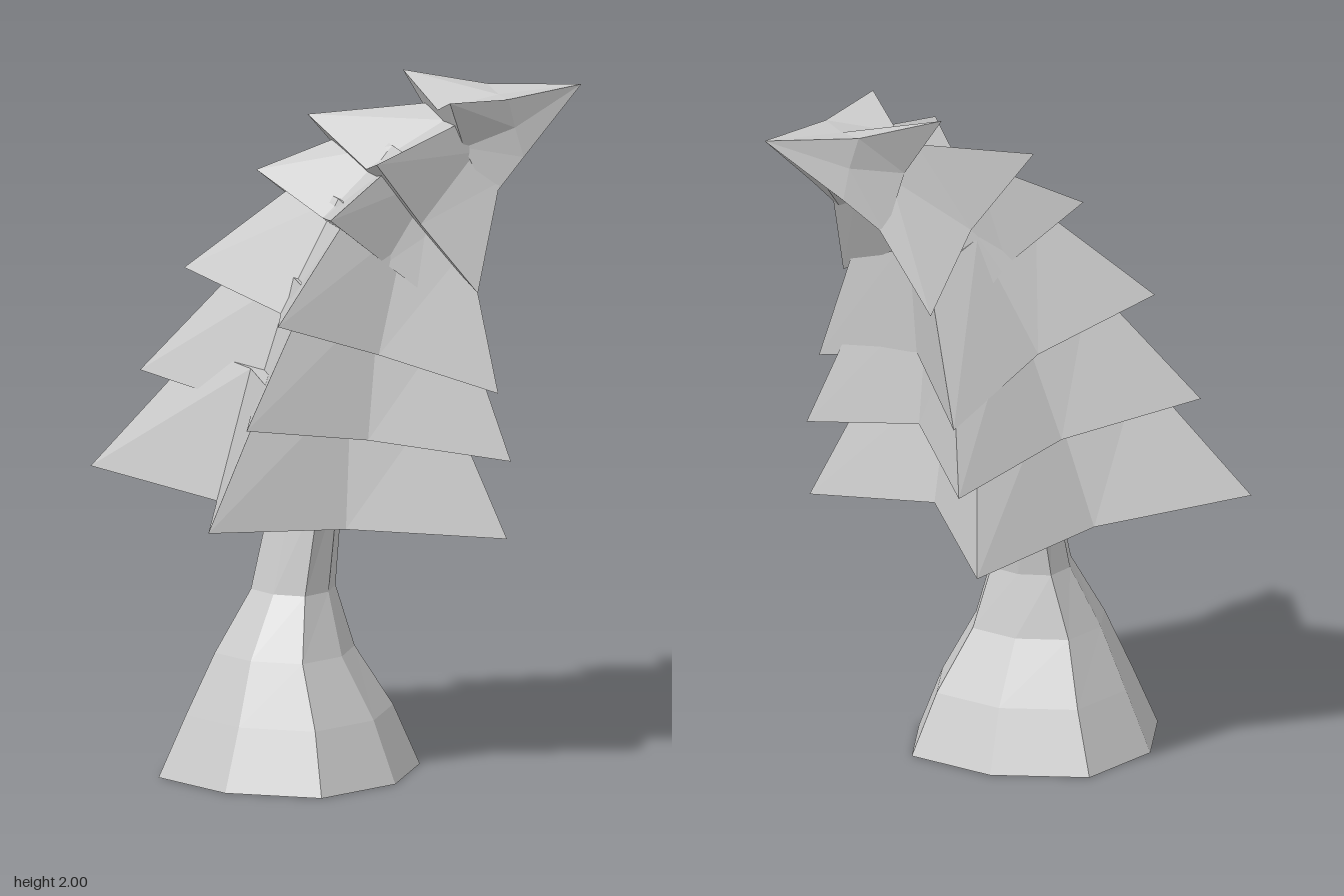
import * as THREE from 'three';

const V = (p) => new THREE.Vector3(...p);

// Skin a stack of closed rings (counterclockwise from above), capped at both ends
function loft(rings) {
  const pos = [];
  const tri = (...pts) => pts.forEach((p) => pos.push(p.x, p.y, p.z));
  const n = rings[0].length;
  const mean = (r) => r.reduce((s, p) => s.add(p), new THREE.Vector3()).divideScalar(n);
  const first = rings[0], last = rings[rings.length - 1];
  const low = mean(first), high = mean(last);
  for (let i = 0; i < n; i++) {
    const j = (i + 1) % n;
    for (let k = 0; k < rings.length - 1; k++) {
      const a = rings[k], b = rings[k + 1];
      tri(a[i], a[j], b[j]);
      tri(a[i], b[j], b[i]);
    }
    tri(first[j], first[i], low);
    tri(last[i], last[j], high);
  }
  const geo = new THREE.BufferGeometry();
  geo.setAttribute('position', new THREE.Float32BufferAttribute(pos, 3));
  geo.computeVertexNormals();
  return geo;
}

// Four-pointed star: each notch is the middle of two tips pulled towards the centre
function star(t, pull, lift = 0) {
  const centre = t.reduce((s, p) => s.add(p), new THREE.Vector3()).divideScalar(4);
  return t.flatMap((p, i) => {
    const notch = p.clone().lerp(t[(i + 1) % 4], 0.5).lerp(centre, 1 - pull[i]);
    if (i === 2) notch.y += lift; // arched notch on the overhanging side
    return [p, notch];
  });
}

export function createModel() {
  const group = new THREE.Group();
  const mat = new THREE.MeshStandardMaterial({ color: 0xcccccc, flatShading: true });
  const add = (name, geo) => {
    const mesh = new THREE.Mesh(geo, mat);
    mesh.name = name;
    group.add(mesh);
  };

  // Flared eight-sided trunk, diagonals drawn in: y, centre x, centre z, radius x, radius z
  const trunk = [
    [0, -0.225, 0.075, 0.387, 0.387],
    [0.18, -0.225, 0.078, 0.307, 0.307],
    [0.36, -0.24, 0.08, 0.207, 0.212],
    [0.54, -0.212, 0.072, 0.125, 0.139],
    [0.85, -0.165, 0.072, 0.102, 0.129],
  ].map(([y, cx, cz, rx, rz]) => Array.from({ length: 8 }, (_, i) => {
    const a = (i / 8) * Math.PI * 2 - 0.06;
    const s = i % 2 ? 0.92 : 1;
    return V([cx + s * rx * Math.cos(a), y, cz - s * rz * Math.sin(a)]);
  }));
  add('trunk', loft(trunk));

  // Leaning foliage tiers; tips run left-back, left-front, right-front, right-back
  const tiers = [
    { tips: [[-0.665, 0.82, -0.43], [-0.6, 0.81, 0.495], [0.32, 0.72, 0.43], [0.26, 0.73, -0.5]], apex: [-0.02, 1.72, 0.04], cut: 0.41 },
    { tips: [[-0.54, 1.11, -0.355], [-0.48, 1.1, 0.48], [0.335, 0.945, 0.42], [0.275, 0.95, -0.415]], apex: [0.09, 1.92, 0.04], cut: 0.43 },
    { tips: [[-0.43, 1.42, -0.28], [-0.378, 1.395, 0.457], [0.3, 1.145, 0.41], [0.25, 1.13, -0.335]], apex: [0.22, 2.0, 0.05], cut: 0.47 },
    { tips: [[-0.235, 1.71, -0.21], [-0.19, 1.675, 0.36], [0.2, 1.36, 0.3], [0.18, 1.36, -0.2]], apex: [0.4, 2.0, 0.05], cut: 0.46 },
    { tips: [[-0.09, 1.87, -0.18], [-0.05, 1.83, 0.357], [0.265, 1.425, 0.325], [0.26, 1.44, -0.21]], apex: [0.47, 1.94, 0.05], cut: 0.56 },
  ];
  tiers.forEach(({ tips, apex, cut }, i) => {
    const low = tips.map(V);
    const high = low.map((p) => p.clone().lerp(V(apex), cut));
    const base = star(low, [0.55, 0.8, 0.7, 0.76], 0.065);
    const top = star(high, [0.8, 0.86, 0.72, 0.86], 0.03);
    add(`foliageTier${i + 1}`, loft([base, top]));
  });

  // Bent treetop: star collar, narrower neck and pointed tip
  const collarTips = [[0.18, 1.995, -0.125], [0.2, 1.975, 0.265], [0.345, 1.665, 0.19], [0.345, 1.665, -0.09]];
  const neckTips = [[0.41, 1.955, -0.05], [0.41, 1.95, 0.155], [0.46, 1.775, 0.145], [0.46, 1.775, -0.05]];
  const collar = star(collarTips.map(V), [0.55, 0.68, 0.8, 0.68], 0.04);
  const neck = star(neckTips.map(V), [0.9, 0.9, 0.95, 0.9]);
  const point = neck.map(() => V([0.663, 1.957, 0.05]));
  add('treetop', loft([collar, neck, point]));

  return group;
}
